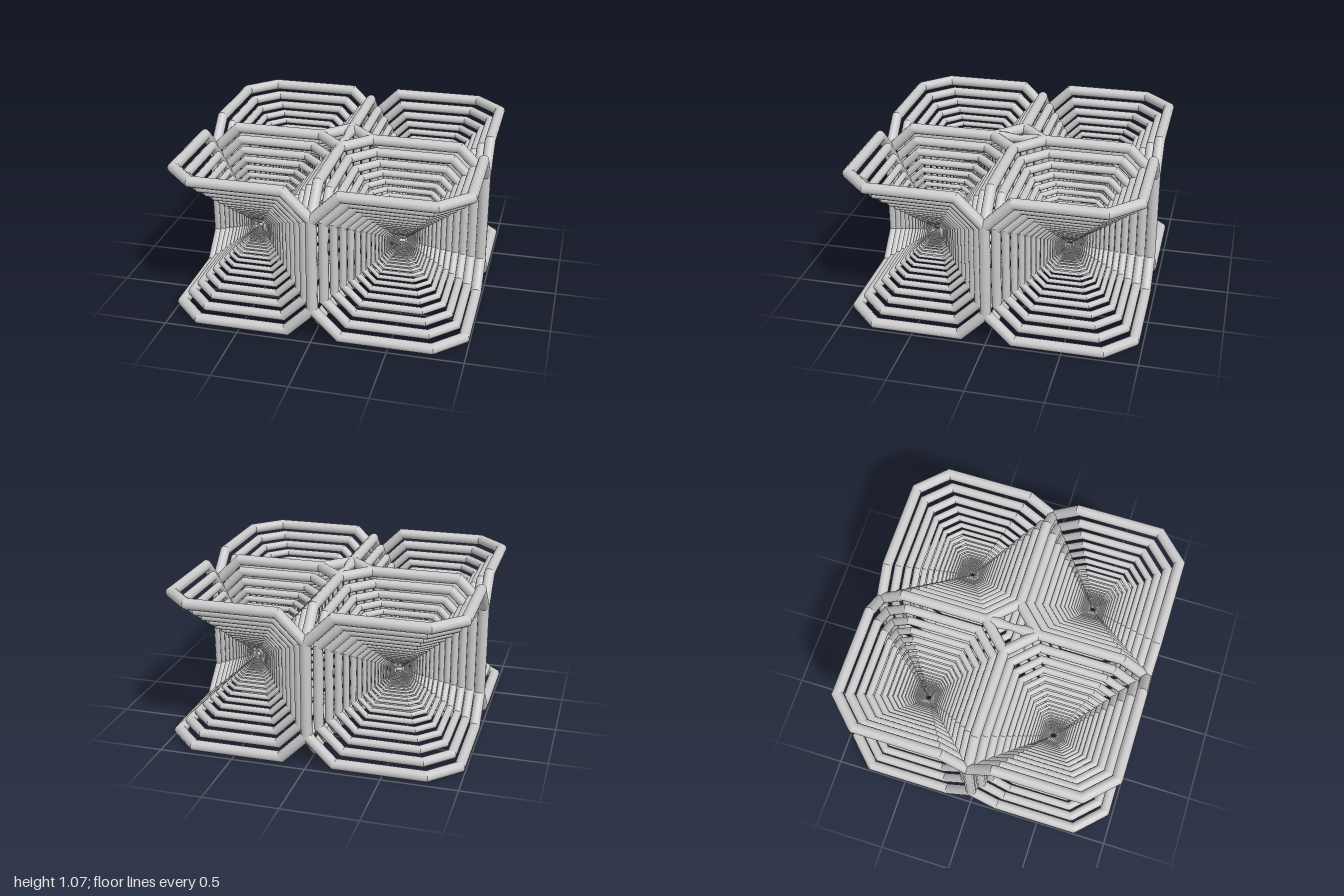
import * as THREE from 'three';

const RADIUS = 0.037, SIDES = 10, RINGS = 25, RATIO = 0.872, CUT = 0.18;
const INNER = 0, OUT_X = 0.963, OUT_Z = 0.941, LOW = 0.037, HIGH = 1.034;
const APEX = new THREE.Vector3(0.49, 0.533, 0.453);

// Cut every corner of a closed path, giving two points per corner
function chamfer(points) {
  const n = points.length, out = [];
  points.forEach((p, i) => {
    for (const q of [points[(i + n - 1) % n], points[(i + 1) % n]]) {
      out.push(p.clone().add(q.clone().sub(p).setLength(CUT)));
    }
  });
  return out;
}

// Append a closed round tube with mitred corners to the arrays
function addTube(points, radius, pos, nor, idx) {
  const n = points.length;
  const dir = points.map((p, i) => points[(i + 1) % n].clone().sub(p).normalize());
  const mitre = dir.map((d, i) => d.clone().add(dir[(i + n - 1) % n]).normalize());
  for (let i = 0; i < n; i++) {
    const d = dir[i], j = (i + 1) % n;
    const ref = Math.abs(d.y) < 0.8 ? new THREE.Vector3(0, 1, 0) : new THREE.Vector3(1, 0, 0);
    const u = new THREE.Vector3().crossVectors(ref, d).normalize();
    const v = new THREE.Vector3().crossVectors(d, u);
    const base = pos.length / 3;
    for (let k = 0; k <= SIDES; k++) {
      const a = (k / SIDES) * Math.PI * 2;
      const r = u.clone().multiplyScalar(Math.cos(a)).addScaledVector(v, Math.sin(a));
      for (const e of [i, j]) {
        // slide the rim point along the segment onto the mitre plane
        const offset = r.clone().multiplyScalar(radius);
        offset.addScaledVector(d, -offset.dot(mitre[e]) / d.dot(mitre[e]));
        const p = points[e].clone().add(offset);
        pos.push(p.x, p.y, p.z);
        nor.push(r.x, r.y, r.z);
      }
      if (k < SIDES) {
        const b = base + k * 2;
        idx.push(b, b + 2, b + 1, b + 1, b + 2, b + 3);
      }
    }
  }
}

// Nested copies of one loop, shrinking towards the apex of its cell
function nestedLoops(loop, apex, material) {
  const pos = [], nor = [], idx = [];
  for (let i = 0, s = 1; i < RINGS; i++, s *= RATIO) {
    const ring = loop.map(p => p.clone().sub(apex).multiplyScalar(s).add(apex));
    addTube(ring, RADIUS * s, pos, nor, idx);
  }
  const g = new THREE.BufferGeometry();
  g.setAttribute('position', new THREE.Float32BufferAttribute(pos, 3));
  g.setAttribute('normal', new THREE.Float32BufferAttribute(nor, 3));
  g.setIndex(idx);
  return new THREE.Mesh(g, material);
}

export function createModel() {
  const model = new THREE.Group();
  model.name = 'nestedTubeLattice';
  const material = new THREE.MeshStandardMaterial({ color: 0xcccccc, side: THREE.DoubleSide });

  // Four cells, each with a six-edged loop around its outer and its inner pair of faces
  for (const sx of [1, -1]) for (const sz of [1, -1]) {
    const cell = new THREE.Group();
    cell.name = (sz > 0 ? 'front' : 'back') + (sx > 0 ? 'Left' : 'Right') + 'Cell';
    const at = (x, y, z) => new THREE.Vector3(x * sx, y, z * sz);
    const apex = at(APEX.x, APEX.y, APEX.z);
    for (const [name, cx, cz] of [['outerLoops', OUT_X, OUT_Z], ['innerLoops', INNER, INNER]]) {
      const loop = chamfer([
        at(INNER, HIGH, OUT_Z), at(cx, HIGH, cz), at(OUT_X, HIGH, INNER),
        at(OUT_X, LOW, INNER), at(cx, LOW, cz), at(INNER, LOW, OUT_Z),
      ]);
      const mesh = nestedLoops(loop, apex, material);
      mesh.name = name;
      cell.add(mesh);
    }
    model.add(cell);
  }

  // Waisted rod joining the front and back cells across the top
  const profile = [[RADIUS, -0.2], [RADIUS, -0.1], [0.024, 0], [RADIUS, 0.1], [RADIUS, 0.2]];
  const rod = new THREE.Mesh(
    new THREE.LatheGeometry(profile.map(([x, y]) => new THREE.Vector2(x, y)), SIDES), material);
  rod.rotation.x = Math.PI / 2;
  rod.position.y = HIGH;
  rod.name = 'topConnector';
  model.add(rod);
  return model;
}
